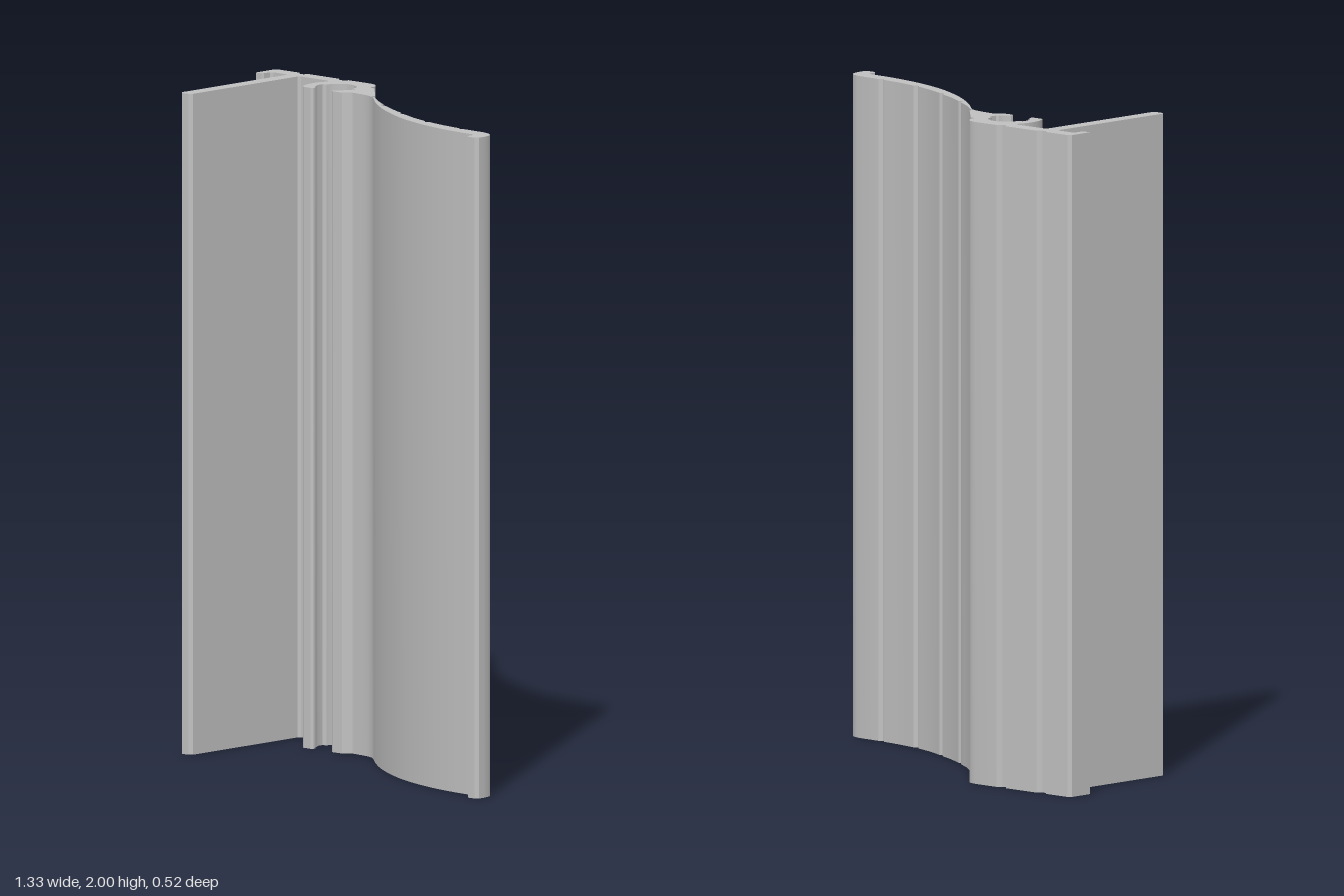
import * as THREE from 'three';
import { toCreasedNormals } from 'three/addons/utils/BufferGeometryUtils.js';

// An extruded trim profile: one closed outline in (x, z), extruded upwards.
export function createModel() {
  const outline = [];
  const line = (...pts) => pts.forEach(([x, z]) => outline.push(new THREE.Vector2(x, z)));
  const curve = (n, ...pts) => {
    const spline = new THREE.SplineCurve(pts.map(([x, z]) => new THREE.Vector2(x, z)));
    outline.push(...spline.getPoints(n));
  };

  // Back of the flat flange, with two V grooves
  line([-0.665, -0.25], [-0.655, -0.26]);
  for (const x of [-0.547, -0.383]) {
    line([x - 0.02, -0.26], [x - 0.008, -0.246], [x + 0.008, -0.246], [x + 0.02, -0.26]);
  }

  // Rounded shoulder and the step onto the curved cover
  curve(8, [-0.276, -0.26], [-0.25, -0.254], [-0.23, -0.237], [-0.224, -0.222]);
  line([-0.223, -0.209], [-0.219, -0.205], [-0.201, -0.201]);

  // Outer face of the cover, broken by small stepped grooves
  line([-0.105, -0.105], [-0.106, -0.093], [-0.101, -0.086], [-0.088, -0.084]);
  curve(4, [-0.088, -0.084], [-0.032, -0.041], [0.025, -0.006]);
  line([0.026, 0.005], [0.033, 0.011], [0.05, 0.01]);
  curve(4, [0.05, 0.01], [0.112, 0.044], [0.174, 0.072]);
  line([0.178, 0.083], [0.185, 0.088], [0.2, 0.085]);
  curve(4, [0.2, 0.085], [0.265, 0.113], [0.331, 0.133]);
  line([0.336, 0.142], [0.344, 0.145], [0.358, 0.139]);
  curve(4, [0.358, 0.139], [0.428, 0.152], [0.498, 0.159]);
  line([0.503, 0.167], [0.511, 0.169], [0.524, 0.162]);

  // Rounded end with a short turned-in lip
  curve(10, [0.601, 0.164], [0.633, 0.172], [0.655, 0.192], [0.663, 0.222]);
  line([0.663, 0.246], [0.653, 0.256], [0.627, 0.256], [0.617, 0.246], [0.617, 0.225], [0.608, 0.215]);

  // Inner face of the cover, one smooth sweep
  curve(28, [0.6, 0.215], [0.5, 0.209], [0.376, 0.187], [0.233, 0.139],
    [0.091, 0.063], [-0.016, -0.014], [-0.098, -0.083], [-0.168, -0.148 + 0.05]);
  line([-0.195, -0.1]);

  // Screw channel: right lip, mirrored inner wall, left hook
  line([-0.216, -0.078], [-0.255, -0.077]);
  const cx = -0.301;
  const wall = [[0.038, -0.083], [0.038, -0.091], [0.055, -0.108], [0.059, -0.121], [0.068, -0.126],
    [0.068, -0.152], [0.055, -0.156], [0.05, -0.176], [0.036, -0.193], [0.019, -0.198], [0.014, -0.205]];
  line(...wall.map(([dx, z]) => [cx + dx, z]));
  line(...wall.slice().reverse().map(([dx, z]) => [cx - dx, z]));
  line([-0.346, -0.077], [-0.376, -0.077]);
  curve(8, [-0.384, -0.083], [-0.397, -0.108], [-0.403, -0.14], [-0.402, -0.17], [-0.394, -0.196]);
  line([-0.396, -0.205], [-0.406, -0.211]);

  // Long leg under the flange
  line([-0.515, -0.211], [-0.522, -0.204], [-0.522, 0.246], [-0.532, 0.256],
    [-0.558, 0.256], [-0.568, 0.246], [-0.568, -0.204], [-0.575, -0.211]);

  // Short return at the flange edge
  line([-0.629, -0.211], [-0.637, -0.204], [-0.637, -0.179], [-0.642, -0.173], [-0.665, -0.173]);

  // Drop repeated points, flip z for the shape plane
  const points = outline
    .filter((p, i) => i === 0 || p.distanceTo(outline[i - 1]) > 1e-4)
    .map((p) => new THREE.Vector2(p.x, -p.y));
  let geometry = new THREE.ExtrudeGeometry(new THREE.Shape(points), { depth: 2, bevelEnabled: false });
  geometry.rotateX(-Math.PI / 2);
  geometry = toCreasedNormals(geometry, 0.5);

  const aluminium = new THREE.MeshStandardMaterial({ color: 0xc0c0c0 });
  aluminium.name = 'aluminium';
  const profile = new THREE.Mesh(geometry, aluminium);
  profile.name = 'trimProfile';

  const group = new THREE.Group();
  group.name = 'extrudedTrim';
  group.add(profile);
  return group;
}
